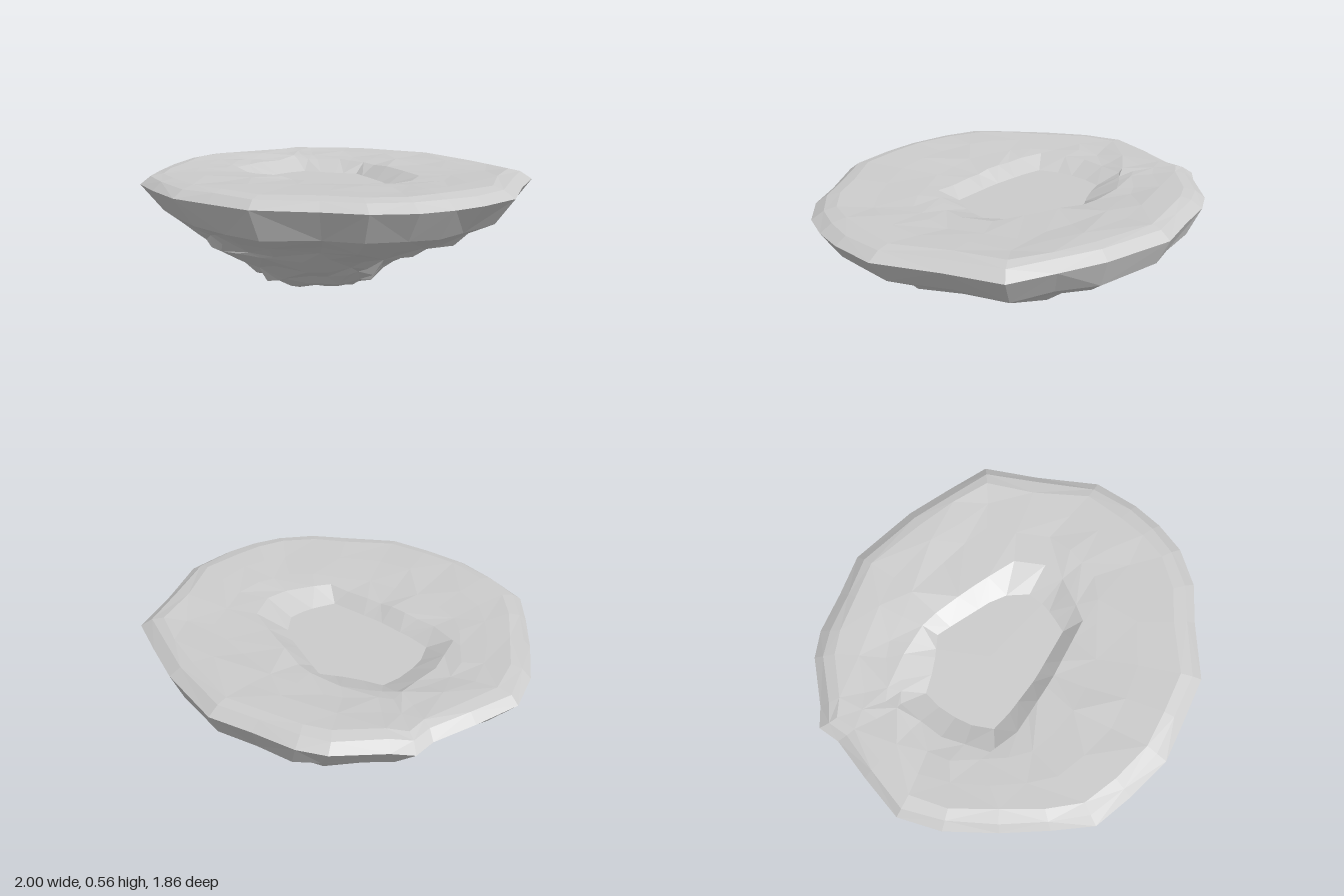
import * as THREE from 'three';

// Outer edge seen from above, [x, z], running from +x towards +z
const outline = [
  [1, 0.12], [0.94, 0.35], [0.87, 0.5], [0.77, 0.64], [0.6, 0.76], [0.4, 0.82], [0.12, 0.93],
  [-0.12, 0.905], [-0.33, 0.88], [-0.55, 0.77], [-0.73, 0.66], [-0.82, 0.47], [-0.91, 0.25],
  [-0.99, 0], [-1, -0.22], [-0.88, -0.43], [-0.76, -0.62], [-0.73, -0.73], [-0.63, -0.77],
  [-0.41, -0.9], [-0.27, -0.93], [-0.05, -0.92], [0.17, -0.92], [0.5, -0.76], [0.7, -0.62],
  [0.89, -0.48], [0.93, -0.2],
];
const N = outline.length;

// Shallow basin in the top: lip and floor polygons, [x, z]
const lip = [[0.47, -0.1], [0.42, 0.1], [0.22, 0.29], [-0.14, 0.24], [-0.44, 0.17], [-0.57, 0.13],
  [-0.58, -0.16], [-0.5, -0.4], [-0.27, -0.49], [-0.04, -0.45], [0.24, -0.27]];
const floor = [[0.3, -0.06], [0.25, 0.08], [0.15, 0.21], [-0.14, 0.16], [-0.44, 0.07], [-0.47, 0],
  [-0.45, -0.18], [-0.4, -0.32], [-0.24, -0.335], [-0.08, -0.38], [0.18, -0.19]];
const basin = [-0.1, -0.09];

let seed = 11;
const rand = () => (seed = (seed * 16807) % 2147483647) / 2147483647;

// Ring of the outline fitted to an x and z range, with roughened radius and height
function fitRing(y, x0, x1, z0, z1, rough = 0, bump = 0) {
  return outline.map(([x, z]) => {
    const k = 1 + rough * (0.4 - rand());
    return new THREE.Vector3(
      (x0 + x1) / 2 + x * k * (x1 - x0) / 2,
      y + (rand() - 0.5) * bump,
      (z0 + z1) / 2 + (z / 0.93) * k * (z1 - z0) / 2);
  });
}

// Ring on a basin polygon, hit by a ray towards each outline point
function polygonRing(polygon, y, bump) {
  const [cx, cz] = basin;
  return outline.map(([ox, oz]) => {
    const dx = ox - cx, dz = oz - cz;
    let t = 0;
    polygon.forEach(([ax, az], i) => {
      const [bx, bz] = polygon[(i + 1) % polygon.length];
      const ex = bx - ax, ez = bz - az, det = dx * ez - dz * ex;
      const s = ((ax - cx) * ez - (az - cz) * ex) / det;
      const u = ((ax - cx) * dz - (az - cz) * dx) / det;
      if (s > 0 && u >= -1e-6 && u <= 1 + 1e-6) t = Math.max(t, s);
    });
    return new THREE.Vector3(cx + dx * t, y + (rand() - 0.5) * bump, cz + dz * t);
  });
}

const pointRing = (x, y, z) => outline.map(() => new THREE.Vector3(x, y, z));

// Faceted skin through successive rings
function loft(name, rings) {
  const points = [];
  const tri = (a, b, c) => {
    if (!a.equals(b) && !b.equals(c) && !c.equals(a)) points.push(a, b, c);
  };
  for (let r = 0; r + 1 < rings.length; r++) {
    for (let i = 0; i < N; i++) {
      const j = (i + 1) % N, lo = rings[r], hi = rings[r + 1];
      if ((i + r) % 2) {
        tri(lo[i], hi[i], lo[j]);
        tri(lo[j], hi[i], hi[j]);
      } else {
        tri(lo[i], hi[j], lo[j]);
        tri(lo[i], hi[i], hi[j]);
      }
    }
  }
  const geometry = new THREE.BufferGeometry().setFromPoints(points);
  geometry.computeVertexNormals();
  const mesh = new THREE.Mesh(geometry,
    new THREE.MeshStandardMaterial({ color: 0xcccccc, flatShading: true }));
  mesh.name = name;
  return mesh;
}

export function createModel() {
  const group = new THREE.Group();
  group.name = 'rockIsland';
  const edge = fitRing(0.515, -1, 1, -0.93, 0.93);

  // Craggy underside, from the broken foot up to the widest edge
  group.add(loft('rockUnderside', [
    pointRing(-0.06, 0.03, 0.07),
    fitRing(0.022, -0.2, 0.08, -0.05, 0.19, 0.25, 0.035),
    fitRing(0.013, -0.33, 0.21, -0.16, 0.3, 0.12, 0.02),
    fitRing(0.05, -0.39, 0.28, -0.23, 0.42, 0.12, 0.03),
    fitRing(0.11, -0.47, 0.36, -0.33, 0.48, 0.12, 0.04),
    fitRing(0.165, -0.54, 0.43, -0.47, 0.56, 0.1, 0.04),
    fitRing(0.225, -0.67, 0.52, -0.56, 0.65, 0.08, 0.03),
    fitRing(0.265, -0.7, 0.7, -0.7, 0.7, 0.07, 0.03),
    fitRing(0.315, -0.76, 0.78, -0.78, 0.76, 0.05, 0.03),
    fitRing(0.38, -0.86, 0.9, -0.87, 0.86, 0.03, 0.03),
    edge,
  ]));

  // Rounded rim, gently dished ground and shallow basin
  group.add(loft('groundTop', [
    edge,
    fitRing(0.553, -0.96, 0.945, -0.88, 0.88, 0.015, 0.006),
    fitRing(0.565, -0.9, 0.88, -0.83, 0.82, 0.02, 0.005),
    fitRing(0.558, -0.79, 0.75, -0.7, 0.62, 0.03, 0.01),
    fitRing(0.548, -0.68, 0.6, -0.58, 0.42, 0.04, 0.012),
    polygonRing(lip, 0.537, 0.012),
    polygonRing(floor, 0.48, 0),
    pointRing(basin[0], 0.48, basin[1]),
  ]));
  return group;
}
